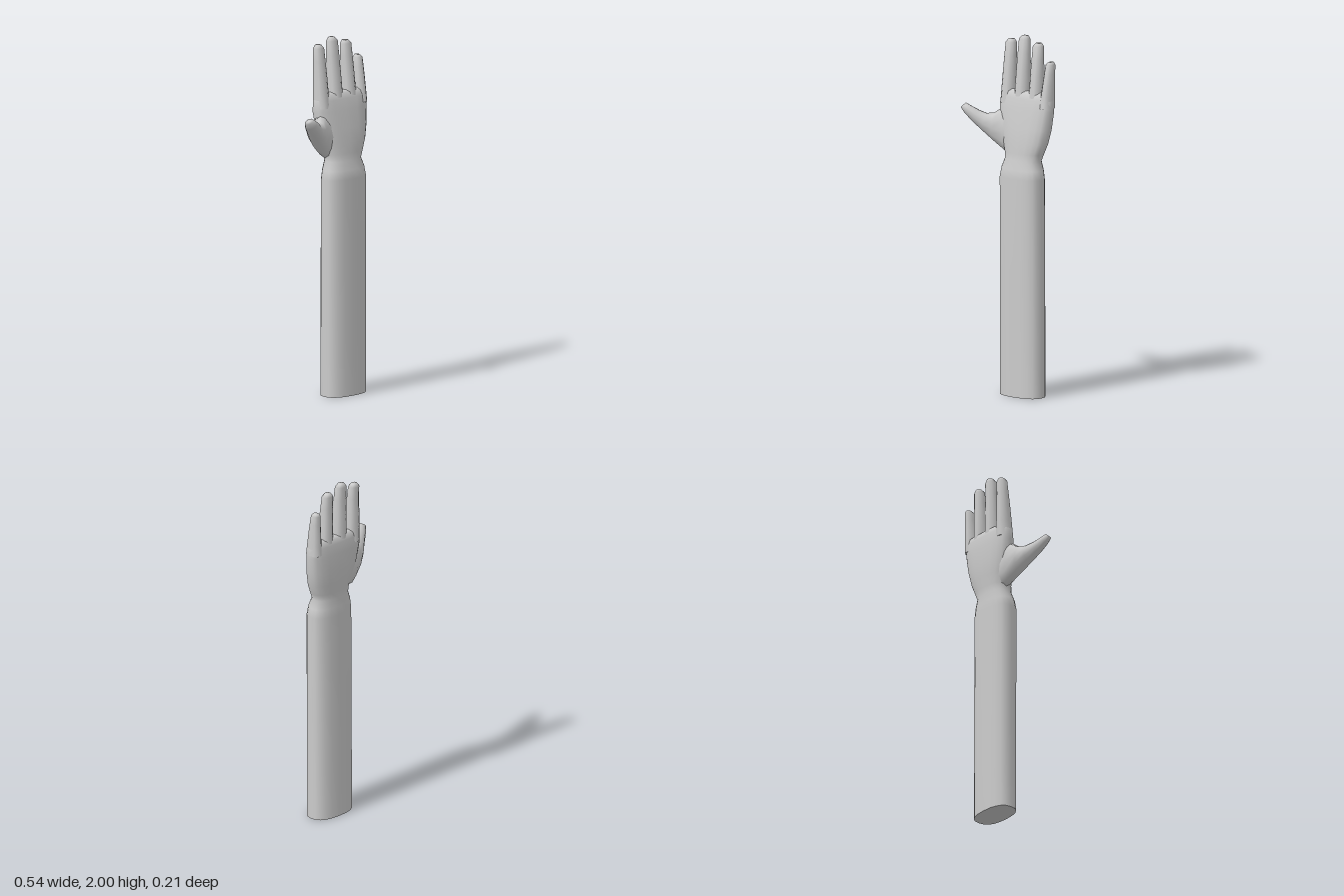
import * as THREE from 'three';

const material = new THREE.MeshStandardMaterial({ color: 0xcccccc });

// Rounded ring: centre c, half axes u and w; e below 1 makes it boxier.
function ring(c, u, w, sides, e = 1) {
  const soft = v => Math.sign(v) * Math.pow(Math.abs(v), e);
  return Array.from({ length: sides }, (_, j) => {
    const a = (j / sides) * Math.PI * 2;
    return c.clone().addScaledVector(u, soft(Math.cos(a))).addScaledVector(w, soft(Math.sin(a)));
  });
}

// Horizontal ring from its extents.
function level(y, x0, x1, z0, z1, sides, e) {
  return ring(
    new THREE.Vector3((x0 + x1) / 2, y, (z0 + z1) / 2),
    new THREE.Vector3((x1 - x0) / 2, 0, 0),
    new THREE.Vector3(0, 0, (z0 - z1) / 2), sides, e);
}

// Smooth skin over the rings; the start cap is flat, the end cap is blended.
function loft(name, rings) {
  const n = rings[0].length, pos = [], index = [];
  const add = p => pos.push(p.x, p.y, p.z) / 3 - 1;
  const middle = r => r.reduce((s, p) => s.add(p), new THREE.Vector3()).divideScalar(n);
  rings.forEach(r => r.forEach(add));
  for (let i = 0; i < rings.length - 1; i++) {
    for (let j = 0; j < n; j++) {
      const a = i * n + j, b = i * n + (j + 1) % n;
      index.push(a, b, a + n, b, b + n, a + n);
    }
  }
  const end = add(middle(rings[rings.length - 1])), last = (rings.length - 1) * n;
  for (let j = 0; j < n; j++) index.push(last + j, last + (j + 1) % n, end);
  const start = add(middle(rings[0])), rim = rings[0].map(add);
  for (let j = 0; j < n; j++) index.push(rim[(j + 1) % n], rim[j], start);
  const geometry = new THREE.BufferGeometry();
  geometry.setAttribute('position', new THREE.Float32BufferAttribute(pos, 3));
  geometry.setIndex(index);
  geometry.computeVertexNormals();
  const mesh = new THREE.Mesh(geometry, material);
  mesh.name = name;
  return mesh;
}

export function createModel() {
  const group = new THREE.Group();
  group.name = 'armWithHand';

  // Forearm, wrist and palm in one skin: y, x range, z range, roundness
  const body = [
    [0, -0.055, 0.225, -0.098, 0.067, 0.8],
    [0.2, -0.055, 0.225, -0.098, 0.067, 0.8],
    [0.7, -0.055, 0.225, -0.096, 0.067, 0.8],
    [1.22, -0.055, 0.225, -0.092, 0.067, 0.8],
    [1.27, -0.047, 0.217, -0.09, 0.06, 0.82],
    [1.32, -0.03, 0.2, -0.087, 0.046, 0.85],
    [1.36, -0.035, 0.217, -0.09, 0.043, 0.85],
    [1.42, -0.052, 0.24, -0.098, 0.038, 0.8],
    [1.5, -0.075, 0.257, -0.106, 0.028, 0.75],
    [1.6, -0.092, 0.268, -0.106, 0.009, 0.68],
    [1.66, -0.087, 0.268, -0.102, -0.003, 0.62],
    [1.69, -0.075, 0.255, -0.095, -0.015, 0.62],
    [1.7, -0.05, 0.23, -0.08, -0.03, 0.7],
  ];
  group.add(loft('forearmAndPalm', body.map(([y, x0, x1, z0, z1, e]) => level(y, x0, x1, z0, z1, 20, e))));

  // Fingers: base x, base half width, tip x, tip half width, tip height
  const fingers = {
    indexFinger: [-0.043, 0.043, -0.045, 0.031, 1.97],
    middleFinger: [0.055, 0.045, 0.052, 0.033, 2.0],
    ringFinger: [0.155, 0.041, 0.151, 0.032, 1.97],
    littleFinger: [0.232, 0.036, 0.239, 0.024, 1.875],
  };
  for (const [name, [bx, br, tx, tr, top]] of Object.entries(fingers)) {
    const base = 1.62;
    // fraction of length, shrink near the tip, back z, front z
    const steps = [
      [0, 1, -0.1, 0.0], [0.25, 1, -0.101, -0.01], [0.5, 1, -0.1, -0.021],
      [0.75, 1, -0.098, -0.034], [0.95, 1, -0.099, -0.045], [1, 0.55, -0.093, -0.058],
    ];
    group.add(loft(name, steps.map(([t, s, z0, z1]) => {
      const x = bx + (tx - bx) * t, r = (br + (tr - br) * t) * s;
      return level(base + (top - base) * t, x - r, x + r, z0, z1, 10, 0.9);
    })));
  }

  // Thumb: lower edge x, y, upper edge x, y, depth z, half thickness
  const thumb = [
    [0.03, 1.34, 0.03, 1.56, -0.035, 0.05],
    [-0.04, 1.34, -0.07, 1.59, -0.028, 0.054],
    [-0.11, 1.403, -0.105, 1.56, 0.0, 0.055],
    [-0.16, 1.453, -0.14, 1.556, 0.026, 0.05],
    [-0.208, 1.503, -0.172, 1.573, 0.055, 0.042],
    [-0.25, 1.55, -0.205, 1.594, 0.077, 0.033],
    [-0.271, 1.582, -0.235, 1.611, 0.089, 0.021],
  ];
  group.add(loft('thumb', thumb.map(([x0, y0, x1, y1, z, h]) => ring(
    new THREE.Vector3((x0 + x1) / 2, (y0 + y1) / 2, z),
    new THREE.Vector3((x1 - x0) / 2, (y1 - y0) / 2, 0),
    new THREE.Vector3(-0.35 * h, 0, -0.94 * h), 12))));

  return group;
}
